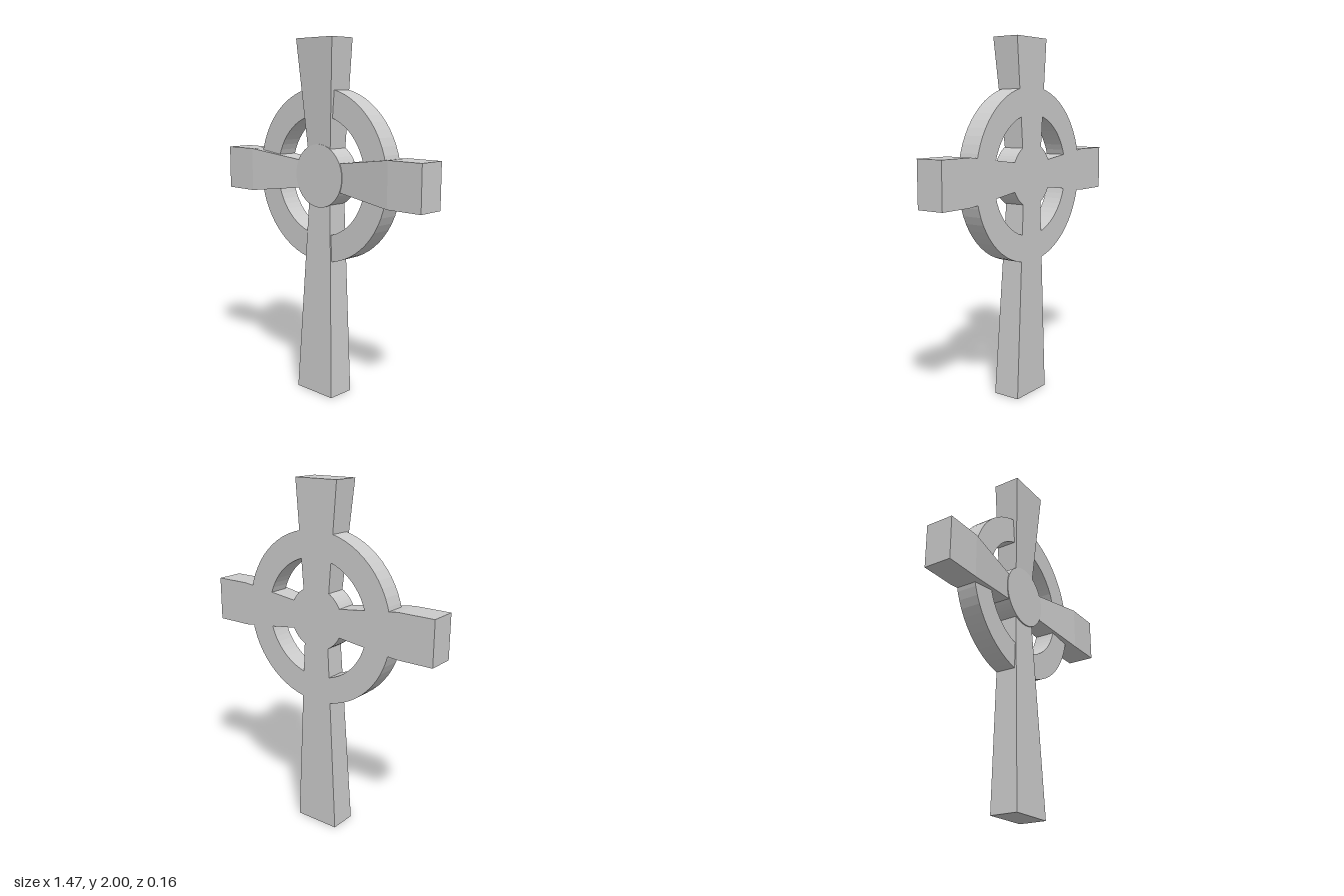
import * as THREE from 'three';

const CENTER_Y = 1.255, BACK = -0.08, FRONT = 0.08;

// Lofts rectangular sections [position, halfWidth, frontZ] along +y, with a flat back.
function taperedBeam(sections) {
  const positions = [], index = [];
  for (const [p, w, f] of sections) {
    positions.push(-w, p, f, w, p, f, w, p, BACK, -w, p, BACK);
  }
  for (let s = 0; s < sections.length - 1; s++) {
    for (let k = 0; k < 4; k++) {
      const a = s * 4 + k, b = s * 4 + (k + 1) % 4;
      index.push(a, b, b + 4, a, b + 4, a + 4);
    }
  }
  const t = (sections.length - 1) * 4;
  index.push(0, 3, 2, 0, 2, 1, t, t + 1, t + 2, t, t + 2, t + 3);
  const g = new THREE.BufferGeometry();
  g.setAttribute('position', new THREE.Float32BufferAttribute(positions, 3));
  g.setIndex(index);
  const flat = g.toNonIndexed();
  flat.computeVertexNormals();
  return flat;
}

// Round slab from the back plane to frontZ, with an optional round hole.
function roundSlab(radius, frontZ, holeRadius) {
  const shape = new THREE.Shape().absarc(0, 0, radius, 0, Math.PI * 2);
  if (holeRadius) {
    shape.holes.push(new THREE.Path().absarc(0, 0, holeRadius, 0, Math.PI * 2, true));
  }
  const g = new THREE.ExtrudeGeometry(shape, {
    depth: frontZ - BACK, bevelEnabled: false, curveSegments: 32,
  });
  return g.translate(0, CENTER_Y, BACK);
}

export function createModel() {
  const group = new THREE.Group();
  const material = new THREE.MeshStandardMaterial({ color: 0xcccccc, flatShading: true });
  const add = (name, geometry) => {
    const mesh = new THREE.Mesh(geometry, material);
    mesh.name = name;
    group.add(mesh);
  };

  // Upright, narrowing and thinning towards the crossing
  add('shaft', taperedBeam([
    [0, 0.135, FRONT], [CENTER_Y, 0.074, 0.031], [2, 0.135, FRONT],
  ]));

  // Crossbar with straight blocks at both ends
  const arms = taperedBeam([
    [-0.733, 0.125, FRONT], [-0.52, 0.125, FRONT], [0, 0.06, 0.022],
    [0.52, 0.125, FRONT], [0.733, 0.125, FRONT],
  ]);
  add('crossbar', arms.rotateZ(-Math.PI / 2).translate(0, CENTER_Y, 0));

  // Ring and central boss
  add('ring', roundSlab(0.483, 0.038, 0.335));
  add('centerBoss', roundSlab(0.176, 0.045));

  return group;
}
